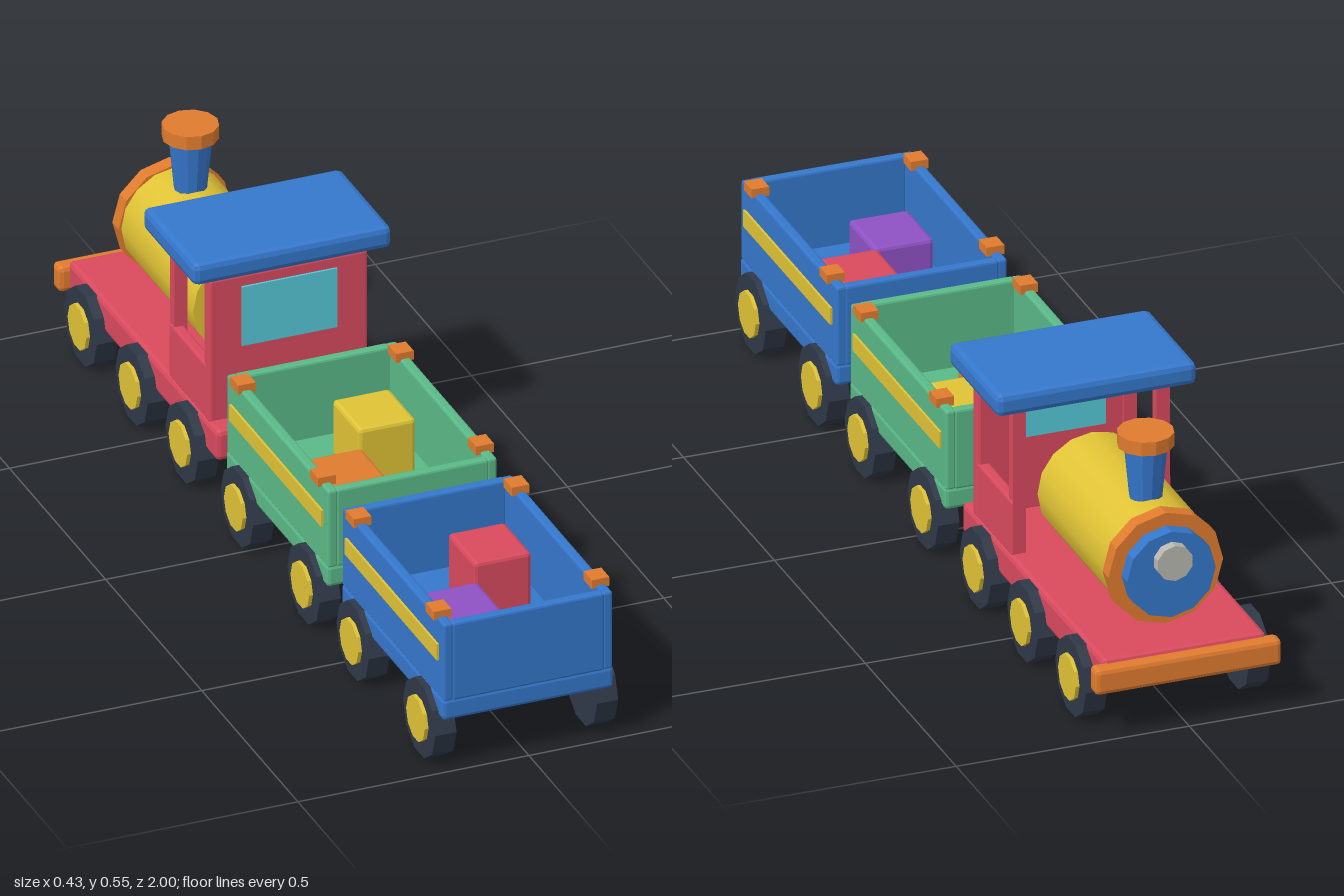
import * as THREE from 'three';
import { RoundedBoxGeometry } from 'three/addons/geometries/RoundedBoxGeometry.js';

const mat = (color, flatShading = true) => new THREE.MeshStandardMaterial({ color, flatShading });
const RED = mat(0xd94a5e), BLUE = mat(0x3577cc), GREEN = mat(0x5ab987), YELLOW = mat(0xe0c335);
const ORANGE = mat(0xe07b2e), DARK = mat(0x2f3848), GLASS = mat(0x55c8d8), PURPLE = mat(0x8f52c4);
const SILVER = mat(0xb8b8b0), BOILER = mat(0xe0c335, false);

function add(parent, name, geometry, material, x, y, z) {
  const mesh = new THREE.Mesh(geometry, material);
  mesh.name = name;
  mesh.position.set(x, y, z);
  parent.add(mesh);
  return mesh;
}

// Box given by its extents, with an optional chamfer
function box(parent, name, material, [x0, x1], [y0, y1], [z0, z1], bevel = 0) {
  const w = x1 - x0, h = y1 - y0, d = z1 - z0;
  const geo = bevel ? new RoundedBoxGeometry(w, h, d, 1, bevel) : new THREE.BoxGeometry(w, h, d);
  return add(parent, name, geo, material, (x0 + x1) / 2, (y0 + y1) / 2, (z0 + z1) / 2);
}

// Disc or drum lying along z, from z0 back to z1
function drum(parent, name, material, r, y, z0, z1, sides) {
  const geo = new THREE.CylinderGeometry(r, r, Math.abs(z1 - z0), sides).rotateX(Math.PI / 2);
  return add(parent, name, geo, material, 0, y, (z0 + z1) / 2);
}

// A pair of wheels with hubs
function wheelPair(parent, z) {
  for (const s of [-1, 1]) {
    const tyre = new THREE.CylinderGeometry(0.084, 0.084, 0.046, 10).rotateZ(Math.PI / 2);
    add(parent, 'wheel', tyre, DARK, s * 0.175, 0.08, z);
    const hub = new THREE.CylinderGeometry(0.049, 0.049, 0.02, 10).rotateZ(Math.PI / 2);
    add(parent, 'wheelHub', hub, YELLOW, s * 0.196, 0.08, z);
  }
}

// Open wagon with two cargo blocks, centred on z
function wagon(name, paint, z, cargoA, cargoB) {
  const g = new THREE.Group();
  g.name = name;
  g.position.z = z;
  box(g, 'wagonChassis', paint, [-0.185, 0.185], [0.115, 0.163], [-0.265, 0.265], 0.008);
  for (const s of [-1, 1]) {
    const side = box(g, 'sideWall', paint, [-0.011, 0.011], [0.158, 0.334], [-0.264, 0.264], 0.005);
    side.position.x = s * 0.172;
    const end = box(g, 'endWall', paint, [-0.165, 0.165], [0.158, 0.334], [-0.011, 0.011], 0.005);
    end.position.z = s * 0.254;
    const stripe = box(g, 'sideStripe', YELLOW, [-0.006, 0.006], [0.242, 0.279], [-0.239, 0.239]);
    stripe.position.x = s * 0.182;
    for (const t of [-1, 1]) {
      add(g, 'cornerCap', new THREE.BoxGeometry(0.038, 0.02, 0.042), ORANGE, s * 0.171, 0.338, t * 0.208);
    }
  }
  box(g, 'cargoBlock', cargoA, [0.006, 0.13], [0.16, 0.285], [-0.17, -0.03], 0.008);
  box(g, 'cargoBlock', cargoB, [-0.13, -0.002], [0.16, 0.265], [0.004, 0.149], 0.008);
  wheelPair(g, 0.172);
  wheelPair(g, -0.174);
  return g;
}

function locomotive() {
  const g = new THREE.Group();
  g.name = 'locomotive';
  box(g, 'locomotiveBase', RED, [-0.176, 0.176], [0.097, 0.165], [-0.975, -0.2], 0.01);
  box(g, 'bumper', ORANGE, [-0.2, 0.2], [0.1, 0.157], [-1, -0.962], 0.01);

  // Cab: low sides, rear wall with window, four posts and roof
  box(g, 'cabRearWall', RED, [-0.172, 0.172], [0.16, 0.485], [-0.275, -0.248], 0.006);
  box(g, 'cabWindow', GLASS, [-0.103, 0.103], [0.325, 0.459], [-0.279, -0.243]);
  for (const s of [-1, 1]) {
    const side = box(g, 'cabSideWall', RED, [-0.012, 0.012], [0.16, 0.283], [-0.462, -0.248], 0.005);
    side.position.x = s * 0.159;
    for (const z of [-0.27, -0.45]) {
      add(g, 'cabPost', new THREE.BoxGeometry(0.028, 0.335, 0.024), RED, s * 0.154, 0.3275, z);
    }
  }
  box(g, 'cabRoof', BLUE, [-0.215, 0.215], [0.49, 0.539], [-0.495, -0.225], 0.013);

  // Boiler, front band, smokebox door and lamp
  drum(g, 'boiler', BOILER, 0.117, 0.293, -0.465, -0.868, 16);
  drum(g, 'boilerBand', ORANGE, 0.123, 0.293, -0.838, -0.871, 12);
  drum(g, 'smokeboxDoor', BLUE, 0.095, 0.293, -0.86, -0.902, 12);
  drum(g, 'lamp', SILVER, 0.039, 0.327, -0.89, -0.923, 10);

  // Chimney
  add(g, 'chimney', new THREE.CylinderGeometry(0.045, 0.032, 0.135, 12), BLUE, 0, 0.455, -0.76);
  add(g, 'chimneyCap', new THREE.CylinderGeometry(0.058, 0.058, 0.03, 12), ORANGE, 0, 0.534, -0.76);

  for (const z of [-0.33, -0.59, -0.855]) wheelPair(g, z);
  return g;
}

export function createModel() {
  const train = new THREE.Group();
  train.name = 'toyTrain';
  train.add(locomotive());
  train.add(wagon('middleWagon', GREEN, 0.132, YELLOW, ORANGE));
  train.add(wagon('lastWagon', BLUE, 0.733, RED, PURPLE));
  // Couplings between the vehicles
  for (const z of [0.432, -0.166]) {
    box(train, 'coupling', DARK, [-0.026, 0.026], [0.098, 0.132], [z - 0.065, z + 0.065], 0.005);
  }
  return train;
}
